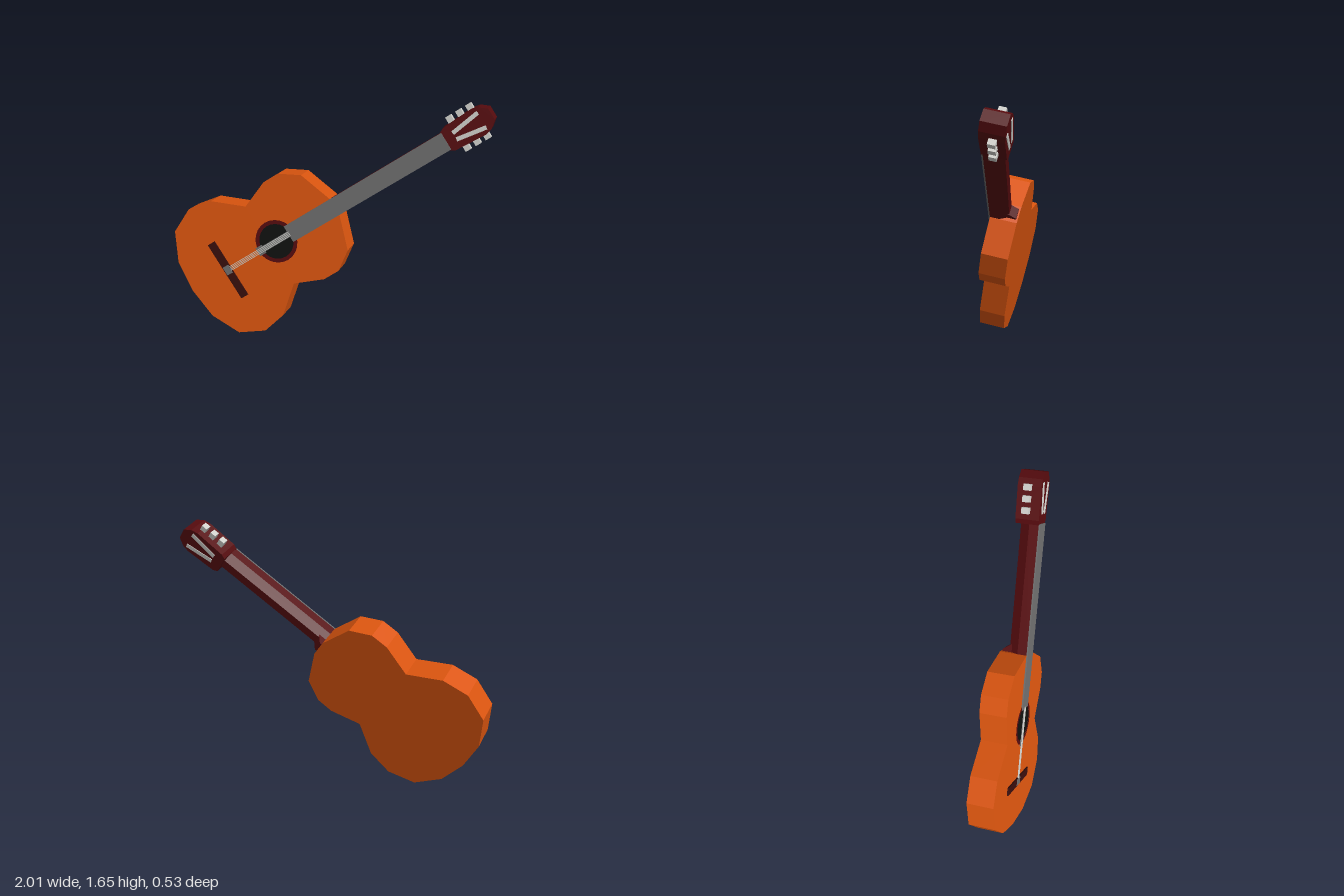
import * as THREE from 'three';

const mat = (name, color) => {
  const m = new THREE.MeshStandardMaterial({ color });
  m.name = name;
  return m;
};

export function createModel() {
  const orange = mat('orange wood', 0xdb550f);
  const maroon = mat('maroon wood', 0x560b0e);
  const brown = mat('dark brown wood', 0x380e0c);
  const grey = mat('grey fretboard', 0x6c6c6c);
  const black = mat('black hole', 0x101110);
  const silver = mat('light metal', 0xcfcfca);

  // Local axes: x along the neck, y across it, z out of the soundboard
  const guitar = new THREE.Group();
  guitar.name = 'guitar';
  const add = (name, geometry, material) => {
    const mesh = new THREE.Mesh(geometry, material);
    mesh.name = name;
    guitar.add(mesh);
    return mesh;
  };
  const shapeOf = (pts) => new THREE.Shape(pts.map(([x, y]) => new THREE.Vector2(x, y)));
  const extrude = (pts, depth) => new THREE.ExtrudeGeometry(shapeOf(pts), { depth, bevelEnabled: false });
  // Outline given for one half, mirrored across the neck axis
  const mirrored = (half) => [...half, ...half.filter((p) => p[1] > 0).reverse().map(([x, y]) => [x, -y])];
  const slab = (name, half, back, front, material) =>
    add(name, extrude(mirrored(half), front - back).translate(0, 0, back), material);
  const box = (name, x0, x1, y, width, z0, z1, material) =>
    add(name, new THREE.BoxGeometry(x1 - x0, width, z1 - z0).translate((x0 + x1) / 2, y, (z0 + z1) / 2), material);
  const X = new THREE.Vector3(1, 0, 0), Y = new THREE.Vector3(0, 1, 0), Z = new THREE.Vector3(0, 0, 1);

  // Body with two bouts and a waist
  slab('body', [
    [-0.712, 0], [-0.687, 0.213], [-0.585, 0.4], [-0.412, 0.475], [-0.243, 0.443], [-0.055, 0.295],
    [0.141, 0.367], [0.255, 0.365], [0.382, 0.28], [0.461, 0.058],
  ], -0.175, 0, orange);

  // Sound hole and its ring
  add('soundHoleRing', new THREE.RingGeometry(0.116, 0.142, 24).translate(0, 0, 0.004), maroon);
  add('soundHole', new THREE.CircleGeometry(0.118, 24).translate(0, 0, 0.003), black);

  // Bridge and saddle
  box('bridge', -0.43, -0.375, 0, 0.415, 0, 0.009, brown);
  box('saddle', -0.425, -0.38, 0, 0.06, 0.008, 0.012, grey);

  // Neck with bevelled back, fretboard and heel
  const neck = extrude([[-0.057, 0], [0.057, 0], [0.057, -0.06], [0.028, -0.12], [-0.028, -0.12], [-0.057, -0.06]], 0.84);
  neck.applyMatrix4(new THREE.Matrix4().makeBasis(Y, Z, X)).translate(0.45, 0, 0);
  add('neck', neck, maroon);
  box('fretboard', 0.1, 1.28, 0, 0.116, 0, 0.009, grey);
  const heel = extrude([[0.44, -0.1], [0.52, -0.1], [0.475, -0.165], [0.44, -0.165]], 0.07);
  heel.translate(0, 0, -0.035).applyMatrix4(new THREE.Matrix4().makeBasis(X, Z, Y.clone().negate()));
  add('heel', heel, maroon);

  // Strings, with the grey rest at the edge of the hole
  for (let i = 0; i < 4; i++) {
    box('string', -0.4, 0.11, (i - 1.5) * 0.009, 0.0045, 0.006, 0.01, silver);
  }
  box('stringRest', -0.15, -0.1, 0, 0.06, 0.004, 0.008, grey);
  box('stringBand', -0.12, 0.11, 0, 0.04, 0.004, 0.007, grey);

  // Head with slots on both faces
  slab('head', [[1.272, 0.06], [1.3, 0.076], [1.5, 0.086], [1.545, 0.075], [1.59, 0.038]], -0.145, 0.003, maroon);
  for (const side of [-1, 1]) {
    for (const z of [0.004, -0.146]) {
      const slot = box('headSlot', -0.095, 0.095, 0, 0.026, -0.003, 0.003, silver);
      slot.position.set(1.432, side * 0.036, z);
      slot.rotation.z = side * 0.15;
    }
    // Tuning pegs
    for (const x of [1.355, 1.424, 1.493]) {
      box('tuningPeg', x - 0.019, x + 0.019, side * 0.095, 0.05, -0.1, -0.055, silver);
    }
  }

  // Lean the guitar back and point its neck up to the side
  const n = new THREE.Vector3(0.0425, 0.2, 1).normalize();
  const u = new THREE.Vector3(1, 0.72, -0.1865).normalize();
  const v = n.clone().cross(u).normalize();
  guitar.applyMatrix4(new THREE.Matrix4().makeBasis(u, v, n).setPosition(-0.285, 0.69, 0.118));

  const model = new THREE.Group();
  model.add(guitar);
  return model;
}
